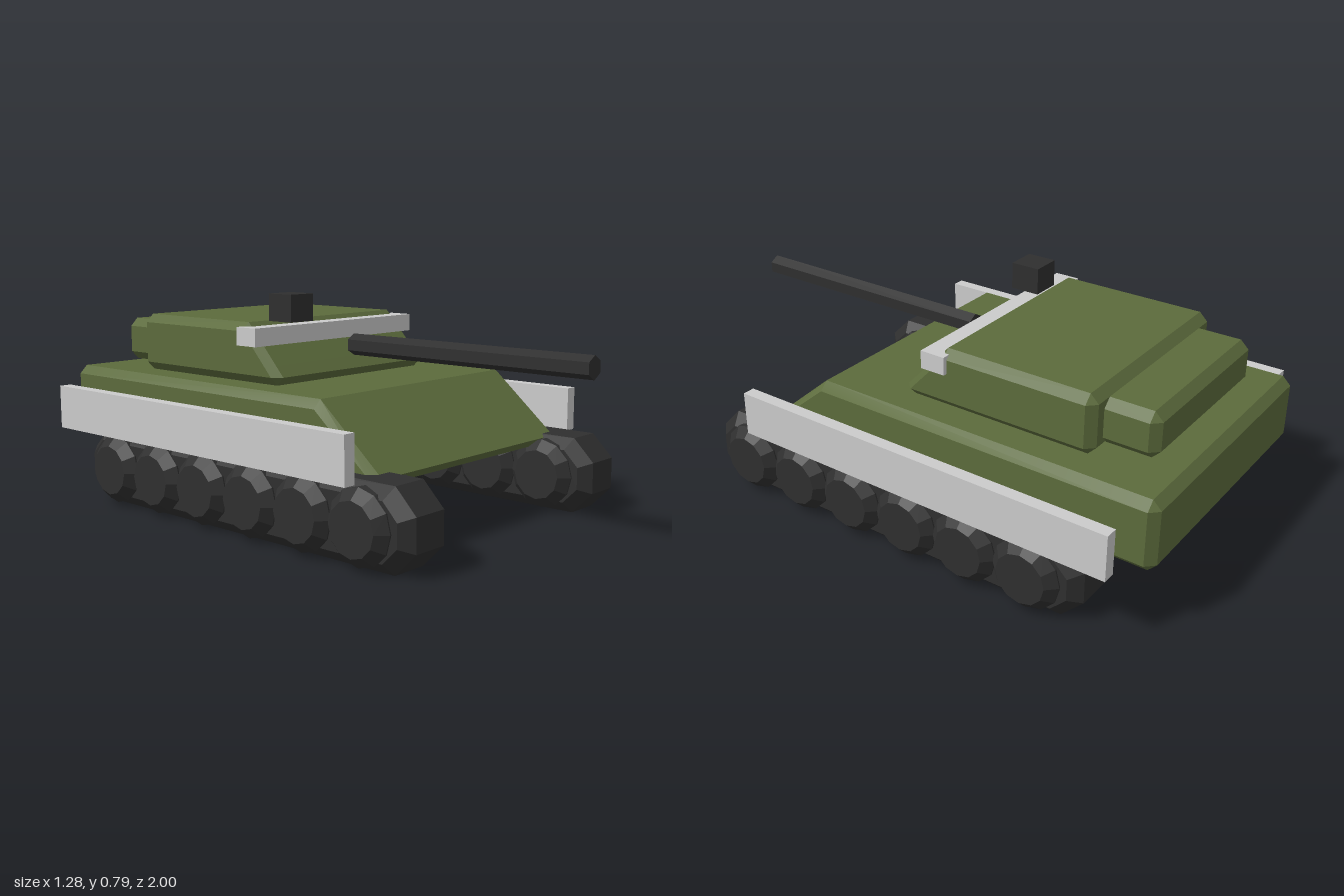
import * as THREE from 'three';
import { ConvexGeometry } from 'three/addons/geometries/ConvexGeometry.js';
import { toCreasedNormals } from 'three/addons/utils/BufferGeometryUtils.js';

const green = new THREE.MeshStandardMaterial({ color: 0x5c6b3c });
const black = new THREE.MeshStandardMaterial({ color: 0x2f2f2f, flatShading: true });
const grey = new THREE.MeshStandardMaterial({ color: 0xcccccc, flatShading: true });

function addMesh(parent, name, geometry, material, x = 0, y = 0, z = 0) {
  const mesh = new THREE.Mesh(geometry, material);
  mesh.name = name;
  mesh.position.set(x, y, z);
  parent.add(mesh);
  return mesh;
}

// Box with chamfered edges; the front leans back by `lean` between its lower and upper edges
function chamferedBox(halfWidth, y0, y1, z0, z1, lean = 0, c = 0.03) {
  const points = [];
  const size = [halfWidth, (y1 - y0) / 2, (z1 - z0) / 2];
  for (let axis = 0; axis < 3; axis++) {
    for (const sx of [-1, 1]) for (const sy of [-1, 1]) for (const sz of [-1, 1]) {
      const s = [sx, sy, sz];
      const p = size.map((h, i) => s[i] * (i === axis ? h : h - c));
      const v = new THREE.Vector3(p[0], p[1] + (y0 + y1) / 2, p[2] + (z0 + z1) / 2);
      if (sz > 0 && sy > 0) v.z -= lean;
      points.push(v);
    }
  }
  return toCreasedNormals(new ConvexGeometry(points), 0.55);
}

// Long octagonal belt with chamfered rims
function beltGeometry(halfLength, halfHeight, halfWidth, corner, c) {
  const points = [];
  const ring = (x, l, h, k) => {
    for (const sz of [-1, 1]) for (const sy of [-1, 1]) {
      points.push(new THREE.Vector3(x, sy * h, sz * (l - k)), new THREE.Vector3(x, sy * (h - k), sz * l));
    }
  };
  for (const s of [-1, 1]) {
    ring(s * (halfWidth - c), halfLength, halfHeight, corner);
    ring(s * halfWidth, halfLength - c, halfHeight - c, corner - c * 0.586);
  }
  return new ConvexGeometry(points);
}

export function createModel() {
  const model = new THREE.Group();
  model.name = 'tank';

  // Hull and turret
  addMesh(model, 'hull', chamferedBox(0.51, 0.23, 0.48, -1, 0.56, 0.23), green);
  addMesh(model, 'turret', chamferedBox(0.4, 0.48, 0.69, -0.715, 0.02, 0.14), green);
  addMesh(model, 'turretBustle', chamferedBox(0.335, 0.5, 0.66, -0.9, -0.68), green);

  // Gun, sight and turret bar
  const barrel = new THREE.CylinderGeometry(0.039, 0.039, 0.99, 6).rotateX(Math.PI / 2);
  addMesh(model, 'gunBarrel', barrel, black, 0, 0.595, 0.505);
  addMesh(model, 'sight', new THREE.BoxGeometry(0.11, 0.097, 0.11), black, -0.225, 0.737, -0.087);
  addMesh(model, 'turretBar', new THREE.BoxGeometry(0.83, 0.064, 0.094), grey, 0, 0.643, -0.117);

  // Running gear
  const belt = beltGeometry(0.7825, 0.136, 0.105, 0.08, 0.04);
  const profile = [[0, -0.145], [0.09, -0.145], [0.125, -0.11], [0.125, 0.11], [0.09, 0.145], [0, 0.145]];
  const wheel = new THREE.LatheGeometry(profile.map(p => new THREE.Vector2(...p)), 12).rotateZ(Math.PI / 2);
  for (const [side, s] of [['left', 1], ['right', -1]]) {
    const track = new THREE.Group();
    track.name = side + 'Track';
    track.position.set(s * 0.495, 0.136, -0.0225);
    addMesh(track, side + 'Belt', belt, black);
    for (let i = 0; i < 6; i++) addMesh(track, side + 'Wheel' + (i + 1), wheel, black, 0, 0, (2.5 - i) * 0.2385);
    model.add(track);
    addMesh(model, side + 'Skirt', new THREE.BoxGeometry(0.045, 0.16, 1.465), grey, s * 0.617, 0.34, -0.183);
  }
  return model;
}
